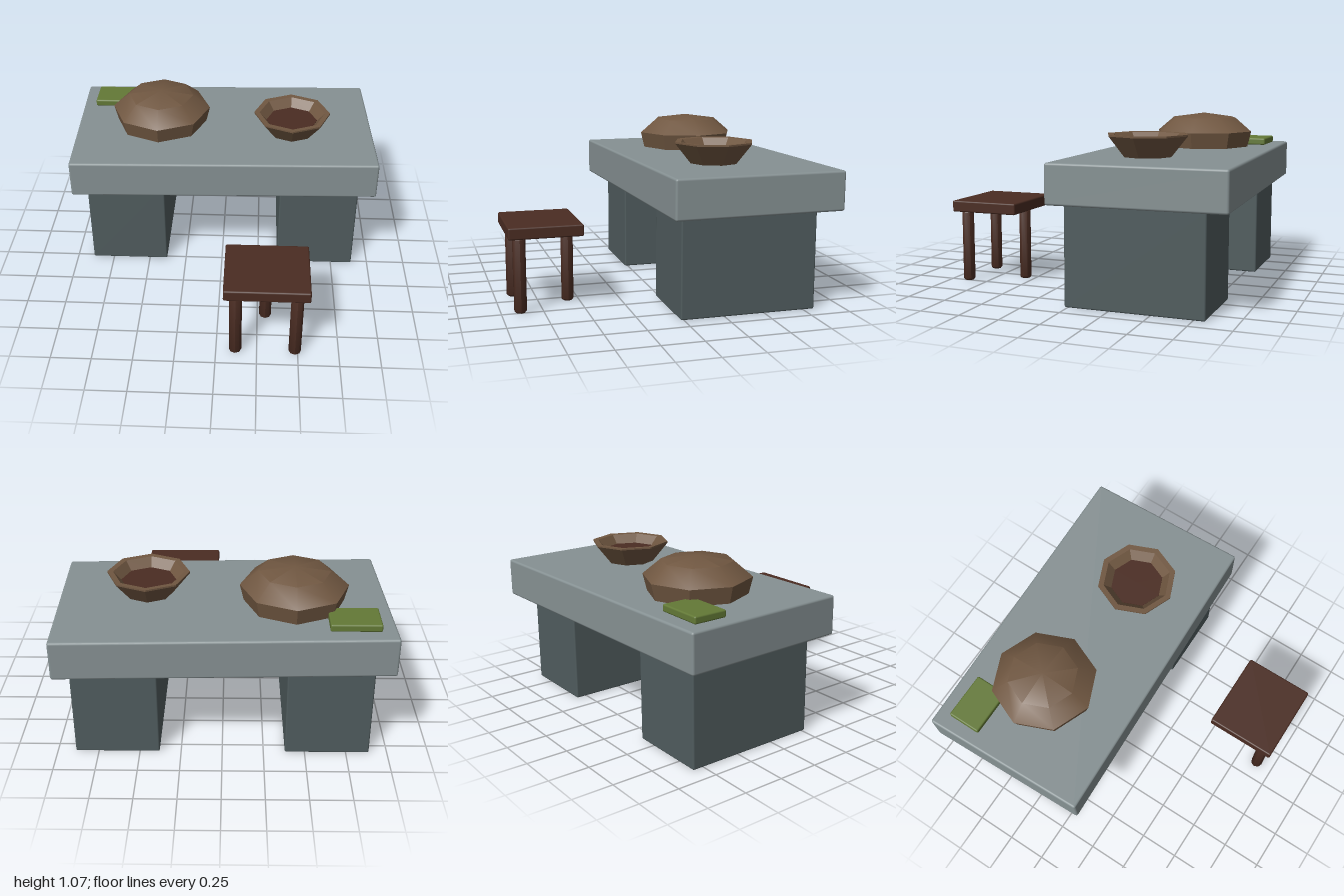
import * as THREE from 'three';
import { toCreasedNormals } from 'three/addons/utils/BufferGeometryUtils.js';
import { RoundedBoxGeometry } from 'three/addons/geometries/RoundedBoxGeometry.js';

const mat = (name, color) => new THREE.MeshStandardMaterial({ name, color });

// Box given by its limits, with softly eased edges
function block(name, material, [x0, x1], [y0, y1], [z0, z1], bevel = 0.01) {
  const geo = new RoundedBoxGeometry(x1 - x0, y1 - y0, z1 - z0, 2, bevel);
  const mesh = new THREE.Mesh(geo, material);
  mesh.name = name;
  mesh.position.set((x0 + x1) / 2, (y0 + y1) / 2, (z0 + z1) / 2);
  return mesh;
}

// Eight-sided turned form; profile is [radius, height] from the bottom up
function turned(name, material, profile, x, z, crease = 0.6) {
  const points = profile.map(([r, y]) => new THREE.Vector2(r, y));
  const geo = toCreasedNormals(new THREE.LatheGeometry(points, 8), crease);
  const mesh = new THREE.Mesh(geo, material);
  mesh.name = name;
  mesh.position.set(x, 0, z);
  return mesh;
}

export function createModel() {
  const paleStone = mat('paleStone', 0x869193);
  const darkStone = mat('darkStone', 0x505c5e);
  const darkWood = mat('darkWood', 0x4a2c22);
  const clay = mat('clay', 0x705741);
  const green = mat('green', 0x637936);

  const model = new THREE.Group();
  model.name = 'stoneTableWithStool';

  // Table top, set slightly askew on its pedestals
  const top = block('tableTop', paleStone, [-0.983, 0.983], [0.61, 0.85], [-0.93, 0.12], 0.014);
  top.rotation.y = 0.03;
  model.add(top);
  for (const [name, x] of [['rightPedestal', -0.635], ['leftPedestal', 0.635]]) {
    model.add(block(name, darkStone, [x - 0.255, x + 0.255], [0.005, 0.612], [-0.82, 0.02]));
  }

  // Domed loaf
  model.add(turned('loaf', clay, [
    [0, 0.851], [0.3, 0.851], [0.325, 0.953], [0.215, 1.045], [0, 1.075],
  ], -0.425, -0.435));

  // Bowl with a broad rim, and its filling
  model.add(turned('bowl', clay, [
    [0, 0.851], [0.15, 0.851], [0.25, 0.975], [0.25, 0.985], [0.215, 0.983], [0.165, 0.925], [0, 0.925],
  ], 0.45, -0.33));
  model.add(turned('bowlFilling', darkWood, [
    [0.167, 0.924], [0.167, 0.93], [0, 0.93],
  ], 0.45, -0.33));

  // Folded cloth slab beside the loaf
  model.add(block('greenSlab', green, [-0.905, -0.61], [0.85, 0.895], [-0.815, -0.605]));

  // Three-legged stool
  const stool = new THREE.Group();
  stool.name = 'stool';
  stool.add(block('seat', darkWood, [0.045, 0.555], [0.46, 0.532], [0.51, 0.955]));
  for (const [x, z] of [[0.118, 0.885], [0.482, 0.885], [0.3, 0.568]]) {
    stool.add(turned('stoolLeg', darkWood, [
      [0, 0.005], [0.028, 0.005], [0.038, 0.016], [0.038, 0.45], [0.028, 0.462], [0, 0.462],
    ], x, z, 0.9));
  }
  model.add(stool);
  return model;
}
